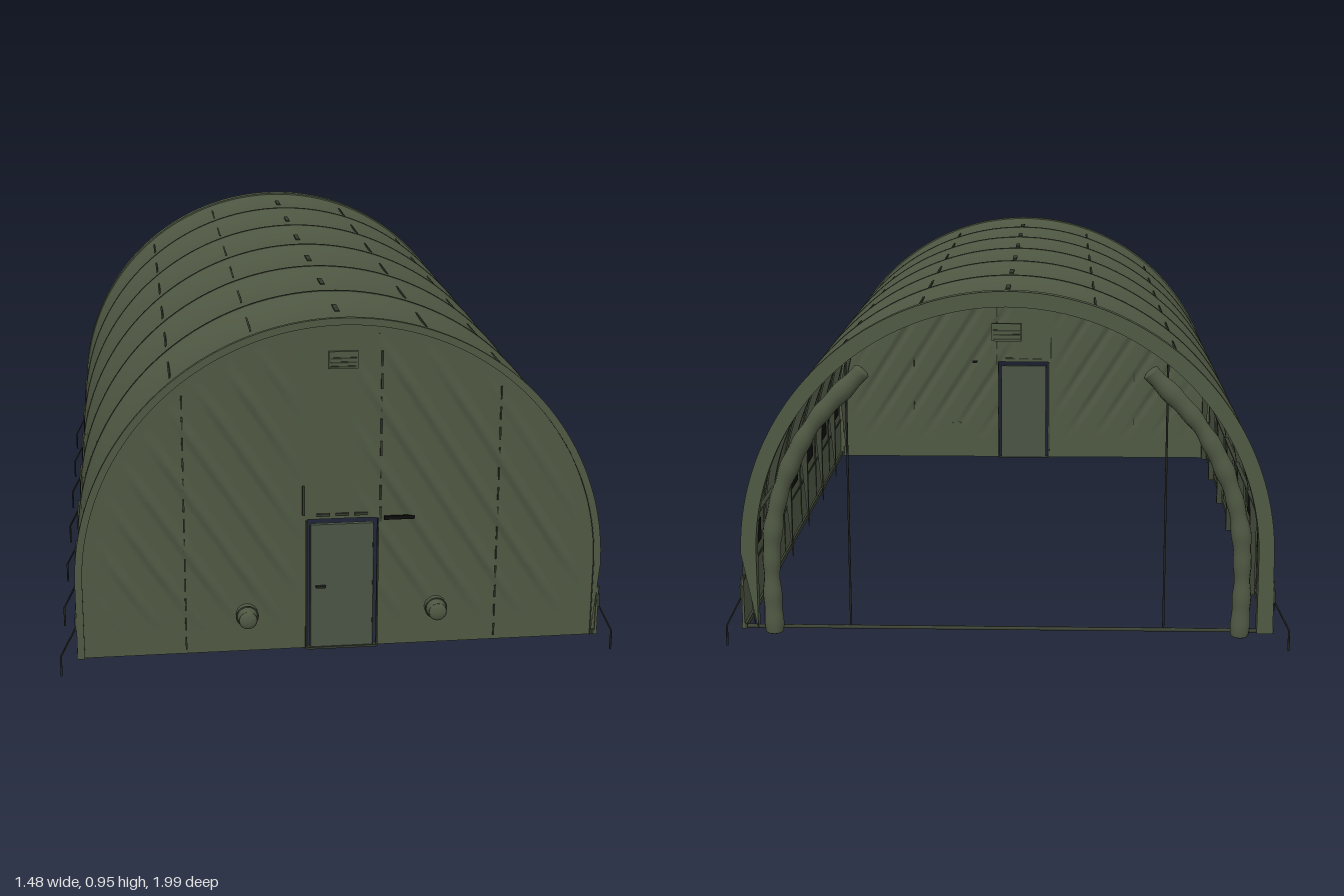
import * as THREE from 'three';
import { ParametricGeometry } from 'three/addons/geometries/ParametricGeometry.js';

const R = 0.69, CY = 0.255, BASE = 0.05, HALF = 0.945, BAY = HALF / 3;
const clamp = (v) => Math.min(1, Math.max(0, v));

const mat = (name, color, side = THREE.FrontSide) => {
  const m = new THREE.MeshStandardMaterial({ color, side });
  m.name = name;
  return m;
};

// Point on the arch outline: straight legs, then a half circle; t runs 0..1 from +x to -x
function archPoint(t, r) {
  const leg = CY - BASE, total = 2 * leg + Math.PI * R, s = t * total;
  if (s < leg) return [r, BASE + s];
  if (s > total - leg) return [-r, BASE + total - s];
  const a = (s - leg) / R;
  return [r * Math.cos(a), CY + r * Math.sin(a)];
}

// Canvas radius, sagging between the ribs and most of all at the ridge
function canvasRadius(height, z) {
  const sag = Math.abs(Math.sin(((z + HALF) / BAY) * Math.PI));
  return R - 0.012 * sag * (0.2 + 0.8 * clamp(height));
}

export function createModel() {
  const canvas = mat('olive canvas', 0x4f5843, THREE.DoubleSide);
  const door = mat('door green', 0x4a5445);
  const seam = mat('dark seam', 0x343a2d);
  const frame = mat('frame green', 0x3d4435);
  const black = mat('black vent', 0x0b0c0a);
  const rope = mat('dark rope', 0x22241f);

  const model = new THREE.Group();
  model.name = 'archTent';
  const add = (name, geo, m, x = 0, y = 0, z = 0) => {
    const mesh = new THREE.Mesh(geo, m);
    mesh.name = name;
    mesh.position.set(x, y, z);
    model.add(mesh);
    return mesh;
  };
  const box = (name, m, w, h, d, x, y, z) => add(name, new THREE.BoxGeometry(w, h, d), m, x, y, z);
  const rod = (name, m, a, b, r) => {
    const p = new THREE.Vector3(...a), q = new THREE.Vector3(...b);
    const dir = q.clone().sub(p);
    const mesh = add(name, new THREE.CylinderGeometry(r, r, dir.length(), 6), m);
    mesh.position.copy(p).add(q).multiplyScalar(0.5);
    mesh.quaternion.setFromUnitVectors(new THREE.Vector3(0, 1, 0), dir.normalize());
  };
  // Flat arched band between two radii
  const archBand = (name, m, outer, inner, depth, z) => {
    const s = new THREE.Shape();
    s.moveTo(outer, BASE);
    s.absarc(0, CY, outer, 0, Math.PI, false);
    s.lineTo(-outer, BASE);
    s.lineTo(-inner, BASE);
    s.absarc(0, CY, inner, Math.PI, 0, true);
    s.lineTo(inner, BASE);
    s.closePath();
    add(name, new THREE.ExtrudeGeometry(s, { depth, bevelEnabled: false, curveSegments: 48 }), m, 0, 0, z);
  };

  // Arched canvas roof and sides
  add('canvasShell', new ParametricGeometry((u, v, p) => {
    const z = -HALF + 2 * HALF * v;
    const h = (archPoint(u, R)[1] - CY) / R;
    const [x, y] = archPoint(u, canvasRadius(h, z));
    p.set(x, y, z);
  }, 80, 96), canvas);

  // Front wall in three panels around the doorway, with slanted folds
  const wallPanel = (name, x0, x1, y0, n) => add(name, new ParametricGeometry((u, v, p) => {
    const x = x0 + (x1 - x0) * u;
    const top = CY + Math.sqrt(Math.max(0, R * R - x * x));
    const y = y0 + (top - y0) * v;
    const edge = clamp((0.65 - Math.hypot(x, Math.max(0, y - CY))) / 0.1);
    const mask = edge * clamp((y - 0.12) / 0.15) * clamp((Math.abs(x + 0.04) - 0.06) / 0.1);
    const fold = Math.max(0, Math.sin((0.84 * x + 0.54 * y) * 70));
    p.set(x, y, HALF + 0.007 * fold * fold * mask);
  }, n, 56), canvas);
  wallPanel('frontWallRight', -R, -0.09, BASE, 64);
  wallPanel('frontWallLeft', 0.092, R, BASE, 64);
  wallPanel('frontWallOverDoor', -0.09, 0.092, 0.412, 20);

  // Edge bands of both ends
  archBand('frontEdgeBand', canvas, 0.694, 0.676, 0.012, HALF - 0.005);
  archBand('frontEdgeSeam', seam, 0.678, 0.675, 0.004, HALF + 0.001);
  archBand('backEdgeBand', canvas, 0.692, 0.652, 0.03, -0.952);

  // Inner ribs and the stitched seams over them
  for (let i = 0; i <= 6; i++) {
    const z = -HALF + i * BAY;
    const zi = THREE.MathUtils.clamp(z, -0.93, 0.93);
    archBand('innerRib', frame, 0.682, 0.664, 0.016, zi - 0.008);
    if (i > 0 && i < 6) archBand('ribSeam', seam, 0.6915, 0.686, 0.004, z - 0.002);
  }

  // Purlins along the inside
  for (const deg of [8, 35, 62, 90, 118, 145, 172]) {
    const a = THREE.MathUtils.degToRad(deg);
    const x = 0.666 * Math.cos(a), y = CY + 0.666 * Math.sin(a);
    rod('purlin', frame, [x, y, -0.93], [x, y, 0.93], 0.006);
  }

  // Roof tabs centred in each bay
  for (let i = 0; i < 6; i++) {
    const z = -HALF + (i + 0.5) * BAY;
    for (const x of [-0.44, -0.23, 0, 0.23, 0.44]) {
      const a = Math.acos(x / R), r = canvasRadius(Math.sin(a), z) + 0.001;
      const tab = box('roofTab', seam, 0.006, x ? 0.005 : 0.012, x ? 0.15 : 0.07,
        r * Math.cos(a), CY + r * Math.sin(a), z);
      tab.rotation.z = a;
    }
  }

  // Sides: windows, skirts, brackets and guy ropes
  for (const s of [-1, 1]) {
    for (let i = 0; i < 6; i++) {
      const z = -HALF + (i + 0.5) * BAY;
      box('sideWindow', black, 0.008, 0.06, 0.19, s * 0.69, 0.25, z);
      box('windowFlap', seam, 0.01, 0.006, 0.13, s * 0.69, 0.288, z);
    }
    box('skirt', canvas, 0.006, 0.13, 1.9, s * 0.691, 0.118, 0);
    box('skirtSeam', seam, 0.01, 0.007, 1.9, s * 0.691, 0.186, 0);
    box('baseRail', frame, 0.014, 0.014, 1.9, s * 0.689, 0.058, 0);
    for (let i = 0; i <= 6; i++) {
      const z = -0.94 + (i * 1.88) / 6;
      box('ropeBracket', seam, 0.008, 0.035, 0.022, s * 0.694, 0.15, z);
      rod('guyRope', rope, [s * 0.694, 0.14, z], [s * 0.738, 0.055, z], 0.0025);
      rod('groundPeg', rope, [s * 0.738, 0.057, z], [s * 0.738, 0, z], 0.003);
    }

    // Round duct cover on the front wall
    const duct = add('ductCover', new THREE.CylinderGeometry(0.024, 0.029, 0.045, 20), canvas, s * 0.25, 0.155, 0.966);
    duct.rotation.x = Math.PI / 2;
    const ring = add('ductRing', new THREE.TorusGeometry(0.027, 0.003, 6, 24), seam, s * 0.25, 0.155, 0.962);
    ring.scale.z = 0.8;
    const cap = add('ductCap', new THREE.SphereGeometry(0.024, 16, 8), canvas, s * 0.25, 0.155, 0.987);
    cap.scale.z = 0.4;

    // Stitched front seams
    for (let y = 0.08; y < 0.79; y += 0.055) box('wallSeam', seam, 0.004, 0.034, 0.004, s * 0.41, y, 0.949);

    // Rolled back curtain tied along the arch
    const path = new THREE.CatmullRomCurve3([
      [0.605, 0.055], [0.608, 0.2], [0.6, 0.34], [0.565, 0.47], [0.49, 0.61], [0.365, 0.745],
    ].map(([x, y]) => new THREE.Vector3(s * x, y, -0.972)));
    const roll = new THREE.TubeGeometry(path, 60, 0.026, 12, false);
    const pos = roll.attributes.position, p = new THREE.Vector3();
    for (let i = 0; i < pos.count; i++) {
      const t = Math.floor(i / 13) / 60, c = path.getPointAt(t);
      const k = 0.9 + 0.12 * Math.sin(t * 40) * Math.cos(t * 17);
      p.fromBufferAttribute(pos, i).sub(c).multiplyScalar(k);
      p.z *= 0.88;
      p.add(c);
      pos.setXYZ(i, p.x, p.y, p.z);
    }
    roll.computeVertexNormals();
    add('rolledCurtain', roll, canvas);
    for (const t of [0, 1]) {
      const end = add('curtainEnd', new THREE.SphereGeometry(0.023, 12, 8), canvas);
      end.position.copy(path.getPointAt(t));
      end.scale.set(1, 0.35, 0.85);
      if (t) end.rotation.z = s * 0.75;
    }

    // Poles of the back opening
    rod('backPole', rope, [s * 0.41, BASE, -0.935], [s * 0.41, 0.8, -0.935], 0.003);
  }
  rod('backThreshold', frame, [-0.69, 0.055, -0.94], [0.69, 0.055, -0.94], 0.005);

  // Door with its frame, leaving a narrow gap
  box('door', door, 0.164, 0.345, 0.012, 0, 0.226, 0.944);
  for (const s of [-1, 1]) {
    box('doorJamb', seam, 0.004, 0.36, 0.012, s * 0.094, 0.23, 0.947);
    box('doorEdge', seam, 0.003, 0.345, 0.014, s * 0.082, 0.226, 0.944);
  }
  box('doorSill', seam, 0.184, 0.006, 0.016, 0, 0.051, 0.946);
  box('doorHandle', rope, 0.026, 0.006, 0.008, -0.056, 0.226, 0.953);
  for (const x of [-0.05, 0, 0.05]) box('doorFlapTie', seam, 0.035, 0.007, 0.006, x, 0.424, 0.947);
  box('nameplate', black, 0.08, 0.01, 0.006, 0.15, 0.411, 0.95);
  for (let y = 0.42; y < 0.85; y += 0.06) box('flapSeam', seam, 0.005, 0.04, 0.005, 0.1, y, 0.947);
  box('flapSeam', seam, 0.006, 0.08, 0.006, -0.101, 0.465, 0.947);

  // Louvred vents high on both ends
  for (const s of [-1, 1]) {
    const z = s > 0 ? 0.947 : -0.93;
    box('topVent', canvas, 0.075, 0.045, 0.012, 0, 0.84, z);
    for (let i = 0; i < 3; i++) box('topVentSlat', seam, 0.068, 0.004, 0.004, 0, 0.823 + i * 0.011, z + s * 0.006);
  }
  return model;
}
